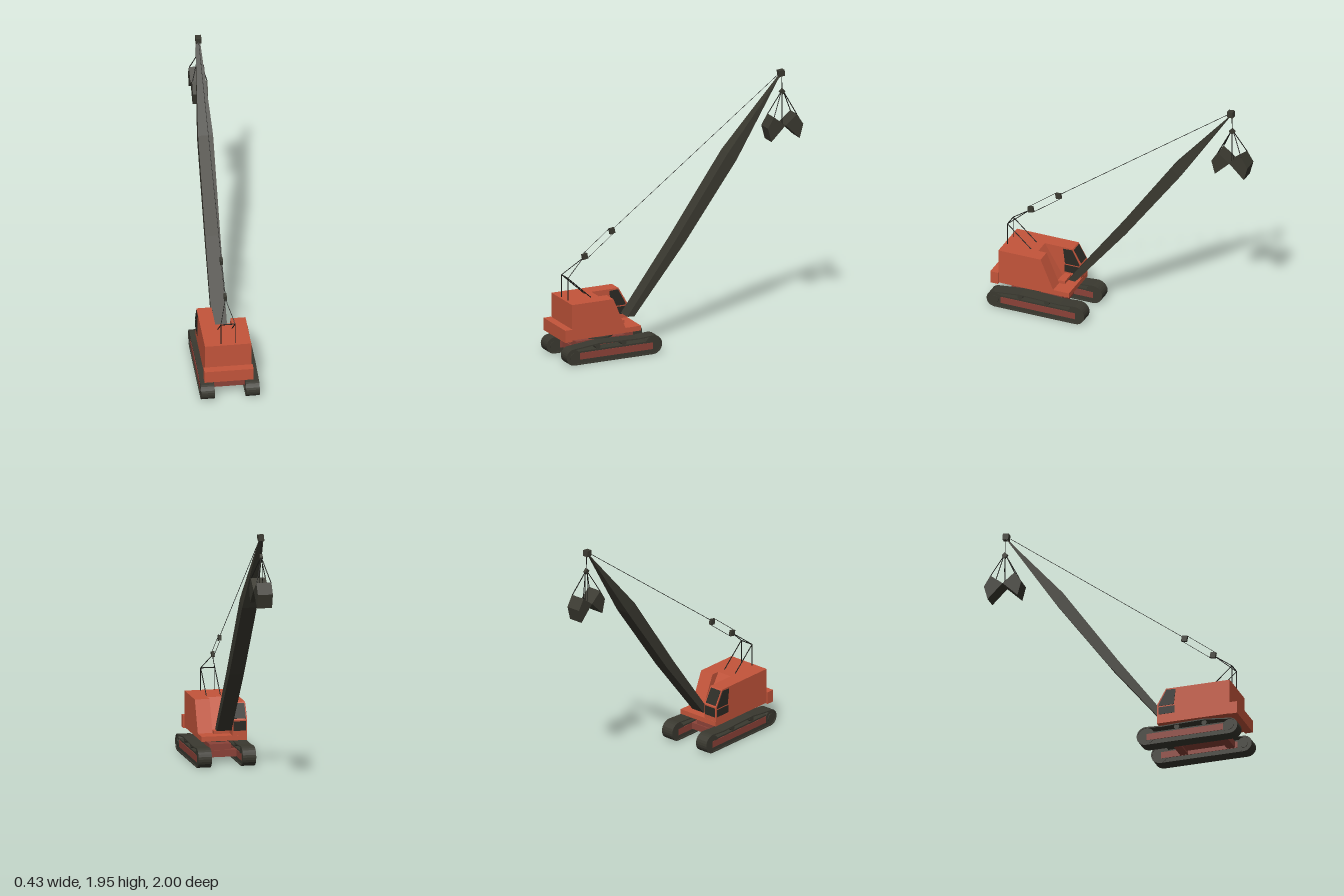
import * as THREE from 'three';

const paint = (name, color, opts = {}) => new THREE.MeshStandardMaterial({ name, color, ...opts });

export function createModel() {
  const orange = paint('orange body', 0xc4553b);
  const red = paint('dull red frame', 0x8c4238);
  const steel = paint('dark steel', 0x3a3930);
  const glass = paint('dark glass', 0x2b2a24);
  const cable = paint('black cable', 0x1b1b18);
  const model = new THREE.Group();
  model.name = 'clamshellCrane';

  const add = (name, geo, mat, parent = model) => {
    const m = new THREE.Mesh(geo, mat);
    m.name = name;
    parent.add(m);
    return m;
  };
  // box from its limits
  const box = (name, mat, x0, x1, y0, y1, z0, z1, parent) =>
    add(name, new THREE.BoxGeometry(x1 - x0, y1 - y0, z1 - z0)
      .translate((x0 + x1) / 2, (y0 + y1) / 2, (z0 + z1) / 2), mat, parent);
  const toShape = pts => new THREE.Shape(pts.map(([z, y]) => new THREE.Vector2(z, y)));
  // side profile in (z, y), extruded from x0 to x1
  const slab = (name, mat, pts, x0, x1, parent, hole) => {
    const s = toShape(pts);
    if (hole) s.holes.push(toShape(hole));
    const g = new THREE.ExtrudeGeometry(s, { depth: x1 - x0, bevelEnabled: false });
    return add(name, g.rotateY(-Math.PI / 2).translate(x1, 0, 0), mat, parent);
  };
  // straight rod between two points
  const rod = (name, a, b, r = 0.003, mat = cable) => {
    const p = new THREE.Vector3(...a), q = new THREE.Vector3(...b);
    const m = add(name, new THREE.CylinderGeometry(r, r, p.distanceTo(q), 6), mat);
    m.position.copy(p).lerp(q, 0.5);
    m.quaternion.setFromUnitVectors(new THREE.Vector3(0, 1, 0), q.sub(p).normalize());
  };
  const wheel = (name, mat, x, y, z, r, w, parent) =>
    add(name, new THREE.CylinderGeometry(r, r, w, 24).rotateZ(Math.PI / 2).translate(x, y, z), mat, parent);
  const arc = (z, y, r, a0, a1, n = 12) => Array.from({ length: n + 1 }, (_, i) => {
    const a = a0 + (a1 - a0) * i / n;
    return [z + r * Math.cos(a), y + r * Math.sin(a)];
  });

  // Tracks: belt loop, wheels, side frame and rollers
  const H = Math.PI / 2;
  const beltLoop = t => [
    ...arc(0.938, 0.062, 0.062 - t, -H, H),
    [0.74, 0.145 - t], [0.53, 0.14 - t], [0.42, 0.136 - t],
    ...arc(0.298, 0.072, 0.072 - t, H, 3 * H),
  ];
  for (const s of [-1, 1]) {
    const track = new THREE.Group();
    track.name = s > 0 ? 'leftTrack' : 'rightTrack';
    model.add(track);
    const c = s * 0.165;
    slab('trackBelt', steel, beltLoop(0), c - 0.05, c + 0.05, track, beltLoop(0.009));
    wheel('driveWheel', steel, c, 0.062, 0.938, 0.054, 0.09, track);
    wheel('driveHub', steel, c, 0.062, 0.938, 0.03, 0.1, track);
    wheel('idlerWheel', steel, c, 0.072, 0.298, 0.064, 0.09, track);
    box('rollerHousing', steel, c - 0.042, c + 0.042, 0.005, 0.1, 0.3, 0.93, track);
    box('trackFrame', red, c - 0.046, c + 0.046, 0.038, 0.088, 0.3, 0.89, track);
    for (const z of [0.74, 0.53]) wheel('carrierRoller', steel, c, 0.118, z, 0.02, 0.08, track);
  }

  // Undercarriage
  for (const z of [0.48, 0.84]) box('crossBeam', red, -0.13, 0.13, 0.04, 0.09, z - 0.03, z + 0.03);
  box('centreFrame', red, -0.08, 0.08, 0.05, 0.135, 0.46, 0.86);
  add('slewRing', new THREE.CylinderGeometry(0.1, 0.1, 0.035, 24).translate(-0.01, 0.155, 0.65), red);
  add('slewBase', new THREE.CylinderGeometry(0.12, 0.12, 0.012, 24).translate(-0.01, 0.142, 0.65), steel);

  // Upper house
  box('deck', orange, -0.18, 0.16, 0.175, 0.212, 0.37, 0.93);
  slab('engineHouse', orange, [[0.93, 0.21], [0.93, 0.445], [0.595, 0.445], [0.495, 0.21]], 0.05, 0.16);
  slab('winchHouse', orange, [[0.93, 0.21], [0.93, 0.445], [0.66, 0.445], [0.52, 0.21]], -0.07, 0.05);
  slab('cab', orange, [[0.93, 0.21], [0.93, 0.445], [0.44, 0.445], [0.372, 0.325], [0.372, 0.21]], -0.18, -0.07);
  box('counterweight', orange, -0.19, 0.17, 0.167, 0.26, 0.93, 0.99);
  box('boomFootStep', orange, -0.065, 0.05, 0.21, 0.235, 0.45, 0.5);

  // Cab windows
  for (const x of [-0.183, -0.07]) {
    slab('sideWindow', glass, [[0.515, 0.432], [0.445, 0.435], [0.385, 0.325], [0.385, 0.312], [0.5, 0.312]], x, x + 0.003);
    slab('lowerSideWindow', glass, [[0.505, 0.302], [0.385, 0.302], [0.385, 0.245], [0.505, 0.245]], x, x + 0.003);
  }
  slab('windscreen', glass, [[0.436, 0.435], [0.378, 0.333], [0.375, 0.335], [0.433, 0.437]], -0.172, -0.078);
  box('lowerWindscreen', glass, -0.172, -0.078, 0.245, 0.315, 0.369, 0.372);

  // Boom: rectangular sections [topZ, topY, bottomZ, bottomY, halfWidth]
  const sections = [
    [0.425, 0.255, 0.37, 0.25, 0.055], [0.03, 0.79, -0.035, 0.75, 0.055],
    [-0.39, 1.39, -0.46, 1.33, 0.055], [-0.86, 1.935, -0.83, 1.905, 0.015],
  ];
  const pos = [], idx = [], cx = -0.008;
  for (const [tz, ty, bz, by, w] of sections)
    pos.push(cx - w, ty, tz, cx + w, ty, tz, cx + w, by, bz, cx - w, by, bz);
  for (let i = 0; i < sections.length - 1; i++)
    for (let k = 0; k < 4; k++) {
      const a = i * 4 + k, b = i * 4 + (k + 1) % 4;
      idx.push(a, b, b + 4, a, b + 4, a + 4);
    }
  idx.push(0, 2, 1, 0, 3, 2, 12, 13, 14, 12, 14, 15);
  const boomGeo = new THREE.BufferGeometry();
  boomGeo.setAttribute('position', new THREE.Float32BufferAttribute(pos, 3));
  boomGeo.setIndex(idx);
  const flatBoom = boomGeo.toNonIndexed();
  flatBoom.computeVertexNormals();
  add('boom', flatBoom, steel);

  // Boom head and pulley blocks
  const block = (name, x, y, z, w, size, tilt) => {
    const m = add(name, new THREE.BoxGeometry(w, size, size), steel);
    m.position.set(x, y, z);
    m.rotation.x = tilt;
  };
  block('boomHead', -0.004, 1.928, -0.845, 0.042, 0.045, 0.1);
  block('rearPulley', cx, 0.745, 0.745, 0.02, 0.042, 0.2);
  block('frontPulley', cx, 0.91, 0.525, 0.02, 0.042, 0.2);
  block('hoistBlock', -0.004, 1.785, -0.855, 0.02, 0.033, Math.PI / 4);

  // Gantry and boom suspension
  for (const x of [-0.06, 0.045]) {
    rod('gantryPost', [x, 0.44, 0.907], [x, 0.613, 0.907], 0.0035);
    rod('gantryStrut', [x, 0.613, 0.907], [x, 0.44, 0.717], 0.0035);
    rod('gantryLine', [x, 0.613, 0.907], [cx, 0.735, 0.757], 0.003);
  }
  rod('gantryBar', [-0.06, 0.613, 0.907], [0.045, 0.613, 0.907], 0.004);
  rod('upperPulleyLine', [cx, 0.77, 0.755], [cx, 0.934, 0.54], 0.0018);
  rod('lowerPulleyLine', [cx, 0.722, 0.73], [cx, 0.89, 0.51], 0.0018);
  rod('boomPendant', [cx, 0.92, 0.52], [-0.004, 1.935, -0.845], 0.002);
  rod('hoistLine', [-0.004, 1.92, -0.852], [-0.004, 1.785, -0.855], 0.0025);

  // Clamshell bucket: two mirrored jaws hung from the hoist block
  for (const s of [-1, 1]) {
    const jaw = [[0, 1.54], [0.093, 1.613], [0.143, 1.533], [0.115, 1.428]];
    slab('bucketJaw', steel, jaw.map(([z, y]) => [-0.856 + s * z, y]), -0.06, 0.052);
    for (const x of [-0.057, 0.049])
      rod('bucketArm', [-0.004, 1.785, -0.856 + s * 0.008], [x, 1.612, -0.856 + s * 0.092], 0.0035);
    rod('closingLine', [-0.004 + s * 0.008, 1.785, -0.856], [-0.004 + s * 0.012, 1.54, -0.856], 0.002);
  }
  return model;
}
